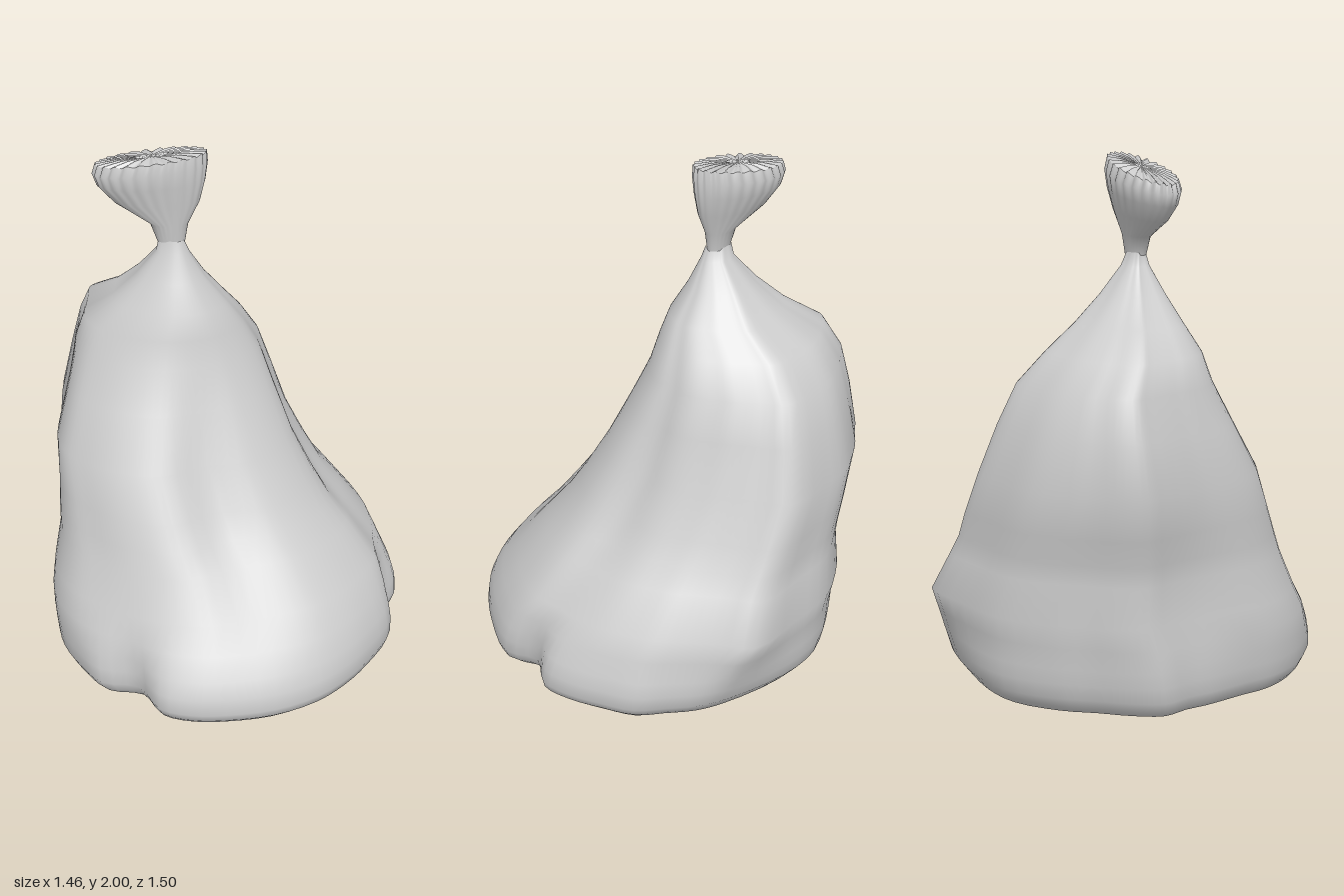
import * as THREE from 'three';

// Sack cross-sections: y, xMin, xMax, zMin, zMax
const SECTIONS = [
  [0.003, -0.58, 0.645, -0.58, 0.68], [0.015, -0.615, 0.685, -0.61, 0.715], [0.04, -0.64, 0.715, -0.63, 0.735],
  [0.08, -0.66, 0.73, -0.66, 0.755], [0.14, -0.668, 0.728, -0.68, 0.745],
  [0.2, -0.67, 0.715, -0.7, 0.72], [0.28, -0.668, 0.685, -0.725, 0.675], [0.37, -0.665, 0.635, -0.755, 0.615],
  [0.52, -0.655, 0.52, -0.695, 0.55], [0.6, -0.67, 0.45, -0.67, 0.52],
  [0.7, -0.69, 0.385, -0.655, 0.485], [0.86, -0.73, 0.29, -0.62, 0.42], [1.05, -0.69, 0.195, -0.55, 0.31],
  [1.2, -0.65, 0.12, -0.48, 0.225], [1.31, -0.59, 0.065, -0.37, 0.185], [1.4, -0.45, 0.01, -0.25, 0.14],
  [1.5, -0.34, -0.07, -0.15, 0.085], [1.6, -0.255, -0.125, -0.065, 0.035], [1.65, -0.245, -0.145, -0.045, 0.02],
];

// Plan outlines from the back round by +x: crumpled near the floor, fuller above
const FLOOR_OUTLINE = [
  [0.04, -0.66], [0.17, -0.65], [0.3, -0.61], [0.42, -0.57], [0.52, -0.48], [0.62, -0.37], [0.675, -0.26],
  [0.64, -0.13], [0.73, -0.02], [0.71, 0.17], [0.67, 0.31], [0.6, 0.45], [0.47, 0.59], [0.3, 0.69],
  [0.17, 0.74], [0.04, 0.75], [-0.09, 0.67], [-0.24, 0.7], [-0.36, 0.645], [-0.48, 0.56], [-0.57, 0.44],
  [-0.61, 0.32], [-0.67, 0.15], [-0.69, 0.06], [-0.73, -0.04], [-0.69, -0.16], [-0.62, -0.28], [-0.55, -0.41],
  [-0.41, -0.56], [-0.24, -0.63],
];
const UPPER_OUTLINE = [
  [0.04, -0.755], [0.17, -0.675], [0.3, -0.615], [0.42, -0.56], [0.52, -0.47], [0.61, -0.36], [0.67, -0.25],
  [0.7, -0.13], [0.73, -0.01], [0.71, 0.17], [0.67, 0.31], [0.6, 0.45], [0.47, 0.59], [0.3, 0.69],
  [0.17, 0.73], [0.04, 0.75], [-0.1, 0.755], [-0.25, 0.74], [-0.4, 0.7], [-0.53, 0.6], [-0.61, 0.46],
  [-0.64, 0.32], [-0.67, 0.17], [-0.7, 0.06], [-0.73, -0.04], [-0.7, -0.16], [-0.63, -0.28], [-0.56, -0.41],
  [-0.41, -0.575], [-0.2, -0.67],
];

// Folds pressed into the cloth: angle (0 = +x, 90 = +z), turn per unit of height, width, height, spread, depth
const FOLDS = [
  [-14, 12, 12, 0.8, 0.4, 0.1], [54, 0, 14, 0.7, 0.35, 0.09], [45, 0, 27, 0.8, 0.45, 0.1],
  [-45, 0, 28, 0.9, 0.55, 0.15], [143, 0, 22, 0.95, 0.35, 0.12], [-135, 0, 22, 1.1, 0.3, 0.04],
  [112, 0, 12, 0.75, 0.3, 0.02],
];

// Skin a stack of closed rings, each running clockwise seen from above
function loft(rings) {
  const n = rings[0].length, index = [];
  for (let i = 0; i < rings.length - 1; i++) {
    for (let j = 0; j < n; j++) {
      const a = i * n + j, b = i * n + (j + 1) % n;
      index.push(a, a + n, b, b, a + n, b + n);
    }
  }
  const geometry = new THREE.BufferGeometry();
  geometry.setAttribute('position', new THREE.Float32BufferAttribute(rings.flat(2), 3));
  geometry.setIndex(index);
  geometry.computeVertexNormals();
  return geometry;
}

function foldScale(u, v, y) {
  const angle = THREE.MathUtils.radToDeg(Math.atan2(v, u));
  let scale = 1;
  for (const [a, turn, width, height, spread, depth] of FOLDS) {
    const centre = a + turn * (y - height);
    const d = THREE.MathUtils.euclideanModulo(angle - centre + 180, 360) - 180;
    scale -= depth * Math.exp(-((d / width) ** 2) - ((y - height) / spread) ** 2);
  }
  return scale;
}

// Outline as a smooth closed curve scaled to the unit square
function planPoints(outline, zBack) {
  const middle = (0.755 + zBack) / 2, half = (0.755 - zBack) / 2;
  const curve = new THREE.CatmullRomCurve3(
    outline.map(([x, z]) => new THREE.Vector3(x / 0.73, 0, (z - middle) / half)), true, 'centripetal');
  return curve.getPoints(outline.length * 3).slice(0, -1);
}

function sackRings() {
  const floor = planPoints(FLOOR_OUTLINE, -0.66), upper = planPoints(UPPER_OUTLINE, -0.755);
  return SECTIONS.map(([y, x0, x1, z0, z1]) => floor.map((f, j) => {
    const p = f.clone().lerp(upper[j], THREE.MathUtils.smoothstep(y, 0.08, 0.38));
    const s = foldScale(p.x, p.z, y);
    return [
      (x0 + x1) / 2 + p.x * s * (x1 - x0) / 2,
      y,
      (z0 + z1) / 2 + p.z * s * (z1 - z0) / 2,
    ];
  }));
}

// Pleated ring of the gathered top: centre x, half width, half depth, y, slope, pleat size
function pleatRing(cx, rx, rz, y, slope, pleat) {
  const n = 144, ring = [];
  for (let j = 0; j < n; j++) {
    const a = (j / n) * Math.PI * 2, wave = Math.cos(a * 24);
    const dx = Math.cos(a) * rx * (1 + pleat * 0.4 * wave);
    ring.push([cx + dx, y + dx * slope + pleat * 0.1 * wave,
      -0.012 + Math.sin(a) * rz * (1 + pleat * wave) - dx * 0.2]);
  }
  return ring;
}

export function createModel() {
  const group = new THREE.Group();
  const cloth = new THREE.MeshStandardMaterial({ color: 0xcccccc });
  cloth.name = 'grey plastic';
  const add = (name, geometry) => {
    const mesh = new THREE.Mesh(geometry, cloth);
    mesh.name = name;
    group.add(mesh);
  };

  // Slumped, folded body
  const rings = sackRings();
  add('sackBody', loft(rings));

  // Flat underside
  const centre = rings[0].map(() => [0.02, 0, 0.04]);
  add('sackBase', loft([centre, rings[0]]));

  // Gathered neck flaring into a tilted, pleated mouth
  const rim = pleatRing(-0.272, 0.198, 0.08, 1.955, 0.2, 0.05);
  add('gatheredNeck', loft([
    pleatRing(-0.195, 0.05, 0.032, 1.64, 0, 0),
    pleatRing(-0.202, 0.068, 0.042, 1.71, 0.03, 0.005),
    pleatRing(-0.25, 0.155, 0.066, 1.79, 0.08, 0.015),
    pleatRing(-0.272, 0.194, 0.086, 1.86, 0.12, 0.025),
    pleatRing(-0.276, 0.205, 0.094, 1.915, 0.17, 0.035),
    rim,
  ]));

  // Pleats closing the mouth
  add('mouthPleats', loft([
    rim,
    pleatRing(-0.272, 0.12, 0.05, 1.963, 0.2, 0.04),
    pleatRing(-0.268, 0.002, 0.002, 1.965, 0.2, 0),
  ]));
  return group;
}
